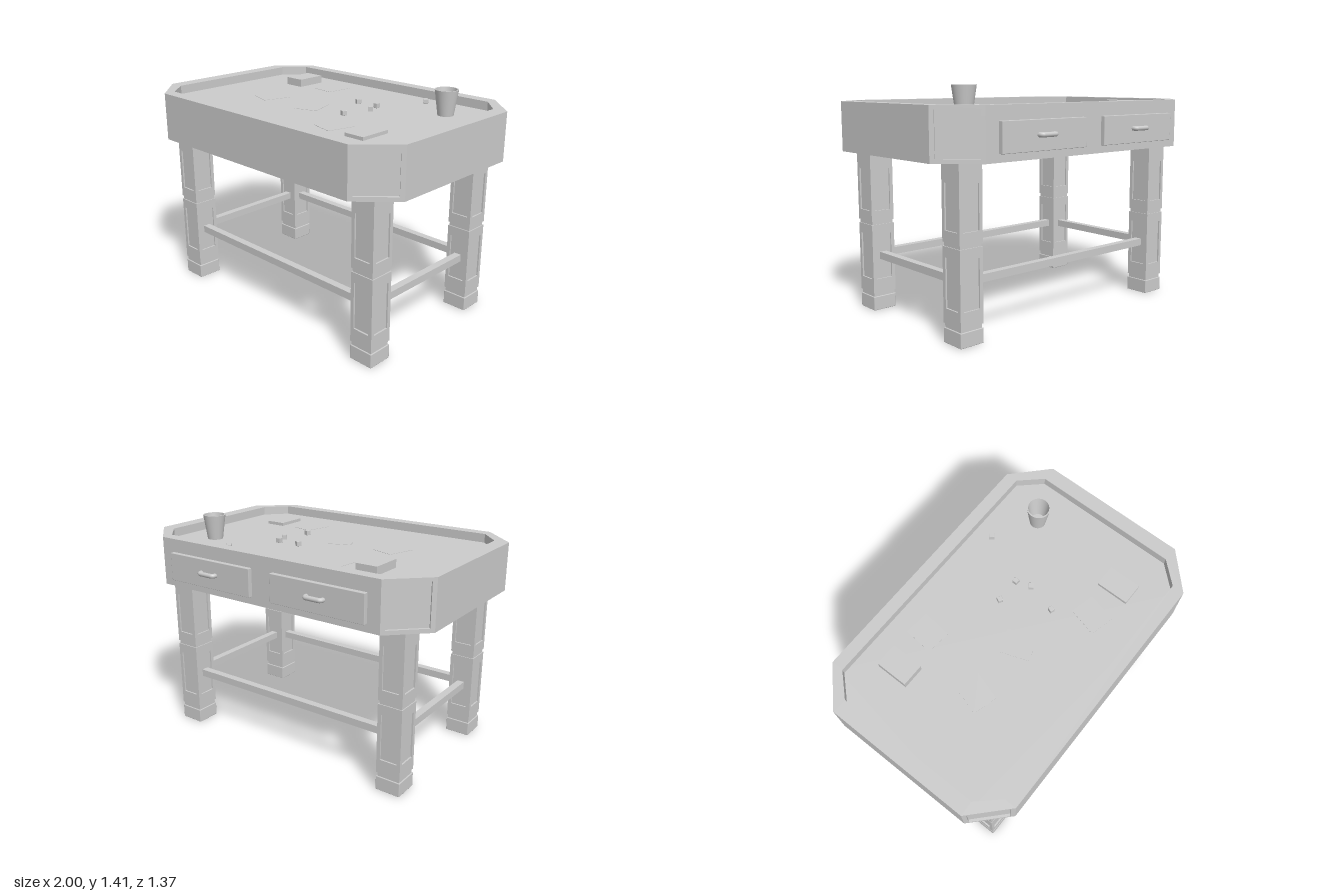
import * as THREE from 'three';
import { RoundedBoxGeometry } from 'three/addons/geometries/RoundedBoxGeometry.js';

const material = new THREE.MeshStandardMaterial({ color: 0xcccccc });
const doubleSided = new THREE.MeshStandardMaterial({ color: 0xcccccc, side: THREE.DoubleSide });

const CENTER_Z = 0.03;
const FLOOR_Y = 1.255;

function add(parent, name, geometry, x = 0, y = 0, z = 0, rotY = 0, mat = material) {
  const mesh = new THREE.Mesh(geometry, mat);
  mesh.name = name;
  mesh.position.set(x, y, z);
  mesh.rotation.y = rotY;
  parent.add(mesh);
  return mesh;
}

// Box with tiny softened edges
const softBox = (w, h, d, r = 0.004) => new RoundedBoxGeometry(w, h, d, 1, r);

// Rectangle with cut corners; notch > 0 sinks a recess into each cut corner
function octagon(hx, hz, cx, cz, notch = 0) {
  const corners = [
    [[hx, -hz + cz], [hx, hz - cz]],
    [[hx - cx, hz], [-hx + cx, hz]],
    [[-hx, hz - cz], [-hx, -hz + cz]],
    [[-hx + cx, -hz], [hx - cx, -hz]],
  ];
  const points = [];
  corners.forEach((side, i) => {
    const a = new THREE.Vector2(...side[1]);
    const b = new THREE.Vector2(...corners[(i + 1) % 4][0]);
    points.push(new THREE.Vector2(...side[0]), a);
    if (notch > 0) {
      const dir = b.clone().sub(a).normalize();
      const inward = new THREE.Vector2(-dir.y, dir.x).multiplyScalar(notch);
      const p = a.clone().lerp(b, 0.09);
      const q = a.clone().lerp(b, 0.91);
      points.push(p, p.clone().add(inward), q.clone().add(inward), q);
    }
  });
  return points;
}

// Horizontal slab from an outline, with an optional opening
function slab(outline, hole, y0, y1) {
  const shape = new THREE.Shape(outline);
  if (hole) shape.holes.push(new THREE.Path(hole));
  const geometry = new THREE.ExtrudeGeometry(shape, { depth: y1 - y0, bevelEnabled: false });
  return geometry.rotateX(-Math.PI / 2).translate(0, y0, 0);
}

function rect(x0, x1, y0, y1) {
  return [[x0, y0], [x1, y0], [x1, y1], [x0, y1]].map((p) => new THREE.Vector2(...p));
}

function createTop() {
  const top = new THREE.Group();
  top.name = 'tableTop';
  top.position.z = CENTER_Z;
  const outer = octagon(1, 0.655, 0.21, 0.2);
  const notched = octagon(1, 0.655, 0.21, 0.2, 0.015);
  const inner = octagon(0.91, 0.58, 0.12, 0.13);
  add(top, 'bottomBand', slab(outer, null, 1.01, 1.035));
  add(top, 'body', slab(notched, null, 1.035, FLOOR_Y));
  add(top, 'rimWall', slab(notched, inner, FLOOR_Y, 1.287));
  add(top, 'rim', slab(outer, inner, 1.287, 1.31));
  return top;
}

// One leg section: a core with a panelled frame on each of four faces
function addPanelledBlock(leg, name, y0, y1, p0, p1) {
  const half = 0.078, sink = 0.01;
  const block = new THREE.Group();
  block.name = name;
  add(block, 'core', new THREE.BoxGeometry(2 * (half - sink), y1 - y0, 2 * (half - sink)), 0, (y0 + y1) / 2, 0);
  const shape = new THREE.Shape(rect(-half, half, y0, y1));
  shape.holes.push(new THREE.Path(rect(-0.055, 0.055, p0, p1)));
  const frame = new THREE.ExtrudeGeometry(shape, { depth: sink, bevelEnabled: false }).translate(0, 0, half - sink);
  for (let i = 0; i < 4; i++) add(block, 'panelFrame', frame, 0, 0, 0, i * Math.PI / 2);
  leg.add(block);
}

function createLeg() {
  const leg = new THREE.Group();
  leg.name = 'leg';
  add(leg, 'foot', softBox(0.158, 0.088, 0.158), 0, 0.044, 0);
  add(leg, 'neck', new THREE.BoxGeometry(0.142, 0.94, 0.142).scale(0.94, 1, 0.94), 0, 0.53, 0);
  add(leg, 'lowerCollar', new THREE.BoxGeometry(0.144, 0.03, 0.144), 0, 0.1, 0);
  add(leg, 'upperCollar', new THREE.BoxGeometry(0.144, 0.03, 0.144), 0, 0.558, 0);
  addPanelledBlock(leg, 'lowerBlock', 0.113, 0.547, 0.2, 0.485);
  addPanelledBlock(leg, 'upperBlock', 0.57, 1.012, 0.635, 0.895);
  return leg;
}

// Drawer front with a bent pull, facing -z
function createDrawer() {
  const drawer = new THREE.Group();
  drawer.name = 'drawer';
  add(drawer, 'drawerFront', softBox(0.63, 0.172, 0.04, 0.003), 0, 1.142, -0.632);
  const path = new THREE.CatmullRomCurve3([
    [-0.055, -0.64], [-0.055, -0.662], [-0.045, -0.675],
    [0.045, -0.675], [0.055, -0.662], [0.055, -0.64],
  ].map(([x, z]) => new THREE.Vector3(x, 1.145, z)), false, 'catmullrom', 0.2);
  add(drawer, 'handle', new THREE.TubeGeometry(path, 32, 0.014, 12));
  return drawer;
}

function createCup() {
  const profile = [
    [0, 0], [0.048, 0], [0.071, 0.155], [0.063, 0.155], [0.043, 0.015], [0, 0.015],
  ];
  // Separate bands keep the lip and base edges sharp
  const cup = new THREE.Group();
  cup.name = 'cup';
  for (let i = 0; i < profile.length - 1; i++) {
    const band = [profile[i], profile[i + 1]].map((p) => new THREE.Vector2(...p));
    add(cup, 'cupBand', new THREE.LatheGeometry(band, 32), 0, 0, 0, 0, doubleSided);
  }
  cup.position.set(0.67, FLOOR_Y, -0.29);
  return cup;
}

export function createModel() {
  const table = new THREE.Group();
  table.name = 'gamingTable';
  table.add(createTop());

  // Legs and stretchers
  const legX = 0.785, legZ = 0.4475, legMid = 0.035;
  for (const sx of [-1, 1]) {
    for (const sz of [-1, 1]) {
      const leg = createLeg();
      leg.position.set(sx * legX, 0, legMid + sz * legZ);
      table.add(leg);
    }
    add(table, 'sideStretcher', new THREE.BoxGeometry(0.046, 0.046, 2 * legZ - 0.14), sx * legX, 0.348, legMid);
    add(table, 'longStretcher', new THREE.BoxGeometry(2 * legX - 0.14, 0.046, 0.046), 0, 0.348, legMid + sx * legZ);
    const drawer = createDrawer();
    drawer.position.x = sx * 0.391 - 0.004;
    table.add(drawer);
  }

  // Items on the playing surface
  table.add(createCup());
  add(table, 'thickBook', new THREE.BoxGeometry(0.138, 0.05, 0.2), -0.569, FLOOR_Y + 0.025, -0.322);
  add(table, 'thinBook', new THREE.BoxGeometry(0.132, 0.02, 0.2), 0.616, FLOOR_Y + 0.01, 0.352);
  const sheets = [[-0.31, -0.34, -0.1], [-0.42, 0.11, -0.3], [-0.043, 0.118, 0.35], [0.37, 0.34, -0.25]];
  for (const [x, z, r] of sheets) {
    add(table, 'paperSheet', new THREE.BoxGeometry(0.15, 0.002, 0.18), x, FLOOR_Y + 0.001, z, r);
  }
  const dice = [[0.41, -0.44, 0.7], [0.11, -0.14, 1.1], [0.262, -0.14, 0], [0.292, -0.05, 0.65], [0.246, 0.135, 1.2]];
  for (const [x, z, r] of dice) {
    add(table, 'die', softBox(0.03, 0.03, 0.03, 0.002), x, FLOOR_Y + 0.015, z, r);
  }
  return table;
}
